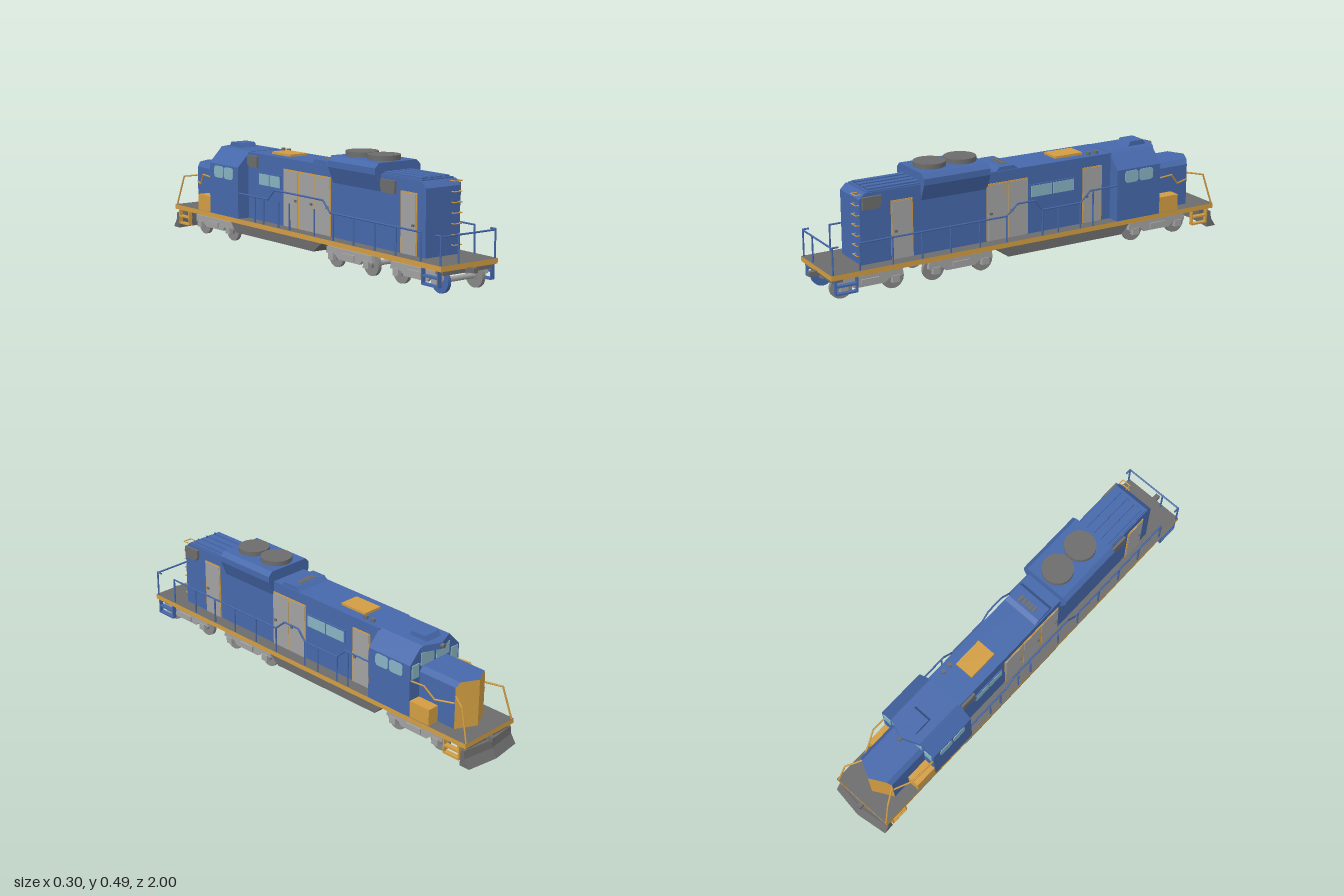
import * as THREE from 'three';

const mat = (name, color, extra = {}) => {
  const m = new THREE.MeshStandardMaterial({ color, ...extra });
  m.name = name;
  return m;
};

export function createModel() {
  const blue = mat('blue paint', 0x4668aa);
  const orange = mat('orange paint', 0xd29d42);
  const gray = mat('dark gray metal', 0x6c6c6c);
  const light = mat('light gray metal', 0xa2a2a2);
  const steel = mat('wheel steel', 0x888888);
  const glass = mat('window glass', 0x86b3c2);
  const root = new THREE.Group();
  root.name = 'locomotive';

  const add = (name, geo, m) => {
    const mesh = new THREE.Mesh(geo, m);
    mesh.name = name;
    root.add(mesh);
    return mesh;
  };
  // Box given by its limits on each axis
  const box = (name, x0, x1, y0, y1, z0, z1, m) => {
    const g = new THREE.BoxGeometry(Math.abs(x1 - x0), y1 - y0, Math.abs(z1 - z0));
    g.translate((x0 + x1) / 2, (y0 + y1) / 2, (z0 + z1) / 2);
    return add(name, g, m);
  };
  const shape = pts => new THREE.Shape(pts.map(p => new THREE.Vector2(...p)));
  // Cross-section in (x, y) pushed along z; shift moves the back end by a rule
  const prism = (name, pts, z0, z1, m, shift) => {
    const g = new THREE.ExtrudeGeometry(shape(pts), { depth: z1 - z0, bevelEnabled: false });
    g.translate(0, 0, z0);
    if (shift) {
      const p = g.attributes.position;
      for (let i = 0; i < p.count; i++)
        if (p.getZ(i) < z0 + 1e-5) p.setZ(i, z0 - shift(Math.abs(p.getX(i))));
      g.computeVertexNormals();
    }
    return add(name, g, m);
  };
  // Side outline in (z, y) pushed across x
  const plate = (name, pts, x0, x1, m) => {
    const g = new THREE.ExtrudeGeometry(Array.isArray(pts) ? shape(pts) : pts,
      { depth: x1 - x0, bevelEnabled: false, curveSegments: 6 });
    g.rotateY(-Math.PI / 2);
    g.translate(x1, 0, 0);
    return add(name, g, m);
  };
  const cyl = (name, r, h, seg, x, y, z, axis, m) => {
    const g = new THREE.CylinderGeometry(r, r, h, seg);
    if (axis === 'x') g.rotateZ(Math.PI / 2);
    if (axis === 'z') g.rotateX(Math.PI / 2);
    g.translate(x, y, z);
    return add(name, g, m);
  };
  // Thin rod through a list of points
  const rod = (name, pts, m, r = 0.004) => {
    const v = pts.map(p => new THREE.Vector3(...p));
    for (let i = 1; i < v.length; i++) {
      const d = v[i].clone().sub(v[i - 1]);
      const mesh = add(name, new THREE.CylinderGeometry(r, r, d.length() + r, 6), m);
      mesh.position.copy(v[i]).add(v[i - 1]).multiplyScalar(0.5);
      mesh.quaternion.setFromUnitVectors(new THREE.Vector3(0, 1, 0), d.normalize());
    }
  };
  const sides = f => [1, -1].forEach(f);
  // Thin panel on a side wall at |x| = w
  const panel = (name, s, w, y0, y1, z0, z1, m, t = 0.004) =>
    box(name, s * (w - 0.002), s * (w + t), y0, y1, z0, z1, m);

  // Deck and underframe
  box('deck', -0.148, 0.148, 0.1, 0.122, -0.96, 0.96, [orange, orange, gray, gray, orange, orange]);
  box('frontBeam', -0.125, 0.125, 0.08, 0.1, 0.9, 0.945, gray);
  box('rearBeam', -0.125, 0.125, 0.07, 0.1, -0.95, -0.9, gray);
  plate('fuelTank', [[0.19, 0.1], [0.13, 0.055], [-0.455, 0.055], [-0.5, 0.1]], -0.14, 0.14, gray);
  box('frontCoupler', -0.011, 0.011, 0.084, 0.104, 0.94, 0.995, gray);
  box('rearCoupler', -0.011, 0.011, 0.084, 0.104, -0.985, -0.94, gray);

  // Snow plow in two swept halves
  sides(s => {
    const g = new THREE.ExtrudeGeometry(
      shape([[-0.935, 0.085], [-0.95, 0.085], [-0.955, 0.05], [-0.98, 0.012], [-0.93, 0.012]]),
      { depth: 0.145, bevelEnabled: false });
    g.rotateY(-Math.PI / 2);
    g.translate(s > 0 ? 0.145 : 0, 0, 0);
    const p = g.attributes.position;
    for (let i = 0; i < p.count; i++) p.setZ(i, p.getZ(i) - 0.02 * (1 - Math.abs(p.getX(i)) / 0.145));
    g.computeVertexNormals();
    add('snowPlow', g, gray);
  });

  // Trucks: wheels, axles and side frames
  [[0.895, 0.66], [0.47, 0.235], [-0.545, -0.78]].forEach(axles => {
    const c = (axles[0] + axles[1]) / 2;
    box('truckBolster', -0.1, 0.1, 0.07, 0.1, c - 0.05, c + 0.05, gray);
    axles.forEach(z => {
      cyl('axle', 0.011, 0.23, 10, 0, 0.05, z, 'x', light);
      sides(s => {
        cyl('wheel', 0.05, 0.016, 20, s * 0.09, 0.05, z, 'x', s < 0 && z > 0.8 ? blue : steel);
        cyl('wheelFlangeHub', 0.02, 0.03, 12, s * 0.095, 0.05, z, 'x', steel);
        box('axleBox', s * 0.105, s * 0.128, 0.035, 0.065, z - 0.017, z + 0.017, light);
      });
    });
    sides(s => {
      const x = s * 0.115;
      plate('truckSideFrame', [[c - 0.15, 0.09], [c - 0.155, 0.06], [c - 0.09, 0.06], [c - 0.07, 0.042],
        [c + 0.07, 0.042], [c + 0.09, 0.06], [c + 0.155, 0.06], [c + 0.15, 0.09]], x - 0.008, x + 0.008, light);
      box('truckSpring', s * 0.12, s * 0.13, 0.05, 0.075, c - 0.04, c + 0.04, light);
    });
  });

  // Long hood with a chamfered front top edge
  plate('longHood', [[-0.43, 0.122], [0.8, 0.122], [0.8, 0.4], [0.775, 0.425], [-0.43, 0.422]], -0.09, 0.09, blue);
  box('hoodTopPanel', -0.085, 0.085, 0.42, 0.43, 0.5, 0.765, blue);
  [-0.06, -0.02, 0.02, 0.06].forEach(x => box('roofRib', x - 0.012, x + 0.012, 0.428, 0.437, 0.51, 0.755, blue));
  [-0.05, 0, 0.05].forEach(x => box('liftingLug', x - 0.003, x + 0.003, 0.43, 0.44, 0.75, 0.757, blue));

  // Flared radiator housing with two fans
  prism('radiatorHousing', [[-0.09, 0.355], [0.09, 0.355], [0.12, 0.425], [0.12, 0.452], [0.1, 0.472],
    [-0.1, 0.472], [-0.12, 0.452], [-0.12, 0.425]], 0.205, 0.52, blue);
  [0.285, 0.43].forEach(z => cyl('radiatorFan', 0.07, 0.024, 24, 0, 0.481, z, 'y', gray));

  // Roof equipment
  plate('dynamicBrakeHump', [[0.16, 0.42], [0.14, 0.44], [0.07, 0.44], [0.045, 0.42]], -0.085, 0.085, blue);
  for (let i = 0; i < 5; i++)
    box('humpGrille', -0.045 + i * 0.019, -0.031 + i * 0.019, 0.438, 0.442, 0.08, 0.11, gray);
  box('roofHatch', -0.045, 0.045, 0.42, 0.433, -0.305, -0.165, orange);
  [-0.325, -0.365].forEach(z => cyl('exhaustStub', 0.01, 0.016, 10, 0.062, 0.428, z, 'y', gray));

  // Cab with sloped shoulders
  prism('cab', [[-0.148, 0.122], [0.148, 0.122], [0.148, 0.355], [0.09, 0.415], [0.08, 0.424],
    [-0.08, 0.424], [-0.09, 0.415], [-0.148, 0.355]], -0.655, -0.425, blue);
  sides(s => prism('cabVisor', [[0, 0.395], [s * 0.09, 0.395], [s * 0.09, 0.415], [s * 0.08, 0.424], [0, 0.424]],
    -0.656, -0.64, blue, x => 0.037 * (1 - x / 0.09)));
  plate('cabRoofVent', [[-0.55, 0.42], [-0.565, 0.445], [-0.635, 0.445], [-0.65, 0.42]], -0.042, 0.042, blue);
  cyl('headlight', 0.01, 0.02, 12, 0, 0.411, -0.695, 'z', gray);

  // Rounded window pane on a side wall
  const pane = (s, w, z0, z1, y0, y1) => {
    const r = 0.016, sh = new THREE.Shape();
    sh.moveTo(z0 + r, y0).lineTo(z1 - r, y0).quadraticCurveTo(z1, y0, z1, y0 + r)
      .lineTo(z1, y1 - r).quadraticCurveTo(z1, y1, z1 - r, y1).lineTo(z0 + r, y1)
      .quadraticCurveTo(z0, y1, z0, y1 - r).lineTo(z0, y0 + r).quadraticCurveTo(z0, y0, z0 + r, y0);
    plate('cabSideWindow', sh, s * w - 0.003, s * w + 0.003, glass);
  };
  sides(s => {
    pane(s, 0.148, -0.535, -0.465, 0.293, 0.347);
    pane(s, 0.148, -0.615, -0.542, 0.293, 0.347);
    box('windshield', s * 0.008, s * 0.085, 0.335, 0.39, -0.659, -0.65, glass);
    box('cornerWindow', s * 0.098, s * 0.138, 0.29, 0.352, -0.659, -0.65, glass);
  });

  // Short nose: blue sides, orange pointed end
  sides(s => {
    prism('nose', [[0, 0.122], [s * 0.09, 0.122], [s * 0.09, 0.31], [s * 0.072, 0.332], [0, 0.332]],
      -0.848, -0.64, [orange, blue], x => 0.048 * (1 - x / 0.09));
    box('batteryBox', s * 0.09, s * 0.145, 0.122, 0.195, -0.76, -0.655, orange);
    rod('noseHandrail', [[s * 0.14, 0.285, -0.655], [s * 0.14, 0.29, -0.725], [s * 0.125, 0.24, -0.77],
      [s * 0.092, 0.24, -0.845]], orange);
    rod('rearHandrail', [[s * 0.088, 0.27, -0.85], [s * 0.125, 0.26, -0.915], [s * 0.14, 0.122, -0.955]], orange);
  });

  // Doors with orange frames
  const doors = (s, z0, z1, n) => {
    panel('doorFrame', s, 0.09, 0.124, 0.376, z0, z1, orange);
    const w = (z1 - z0) / n;
    for (let i = 0; i < n; i++) {
      const a = z0 + i * w + 0.005, b = z0 + (i + 1) * w - 0.005;
      panel('door', s, 0.09, 0.124, 0.371, a, b, light, 0.006);
      panel('doorHandle', s, 0.09, 0.24, 0.25, b - 0.02, b - 0.007, gray, 0.012);
    }
  };
  doors(1, 0.56, 0.66, 1);
  doors(1, 0.005, 0.208, 2);
  doors(1, -0.378, -0.278, 1);
  doors(-1, 0.65, 0.75, 1);
  doors(-1, -0.15, 0.19, 3);

  // Hood windows and side plates
  [[1, -0.235, -0.005], [-1, -0.34, -0.17]].forEach(([s, z0, z1]) => {
    panel('windowFrame', s, 0.09, 0.28, 0.342, z0, z1, blue, 0.005);
    const mid = (z0 + z1) / 2;
    panel('hoodWindow', s, 0.09, 0.286, 0.336, z0 + 0.006, mid - 0.003, glass, 0.007);
    panel('hoodWindow', s, 0.09, 0.286, 0.336, mid + 0.003, z1 - 0.006, glass, 0.007);
  });
  [[1, 0.705, 0.79], [-1, 0.53, 0.62], [-1, -0.42, -0.345]].forEach(([s, z0, z1]) => {
    const x = s * 0.095;
    plate('sidePlate', [[z0, 0.375], [z0 + 0.015, 0.357], [z1, 0.357], [z1, 0.41], [z0, 0.41]],
      x - 0.007, x + 0.007, gray);
  });

  // Ladder rungs on the hood end
  for (let i = 0; i < 7; i++) {
    const y = 0.162 + i * 0.043;
    const z = y > 0.405 ? 0.79 : 0.8;
    rod('ladderRung', [[0.045, y, z], [0.045, y, 0.815], [0.085, y, 0.815], [0.085, y, z]], orange, 0.0025);
  }

  // Walkway handrails
  sides(s => {
    const x = s * 0.142;
    const hi = 0.285, lo = 0.238;
    const path = s > 0
      ? [[0.83, lo], [0.14, lo], [0.085, hi], [0, hi], [-0.04, lo], [-0.235, lo], [-0.285, hi], [-0.425, hi]]
      : [[0.83, lo], [0.25, lo], [0.2, hi], [-0.15, hi], [-0.2, lo], [-0.425, lo]];
    rod('sideHandrail', path.map(([z, y]) => [x, y, z]), blue);
    [0.83, 0.68, 0.545, 0.41, 0.27, 0.14, -0.04, -0.12, -0.235, -0.3].forEach(z =>
      rod('sideRailPost', [[x, 0.11, z], [x, z < -0.25 && s > 0 ? hi : lo, z]], blue));
    rod('frontRailPost', [[x, 0.11, 0.95], [x, lo, 0.95], [x, lo, 0.925]], blue);
  });
  rod('frontHandrail', [[-0.142, 0.235, 0.95], [0.142, 0.235, 0.95]], blue);
  rod('frontRailPost', [[-0.05, 0.11, 0.95], [-0.05, 0.235, 0.95]], blue);

  // Corner steps at both ends
  [[0.845, 0.94, blue], [-0.925, -0.845, orange]].forEach(([z0, z1, m]) => sides(s => {
    [z0, z1].forEach(z => box('stepSide', s * 0.13, s * 0.148, 0.035, 0.1, z - 0.003, z + 0.003, m));
    [0.037, 0.07].forEach(y => box('stepTread', s * 0.126, s * 0.148, y - 0.004, y + 0.004, z0, z1, m));
  }));

  return root;
}
